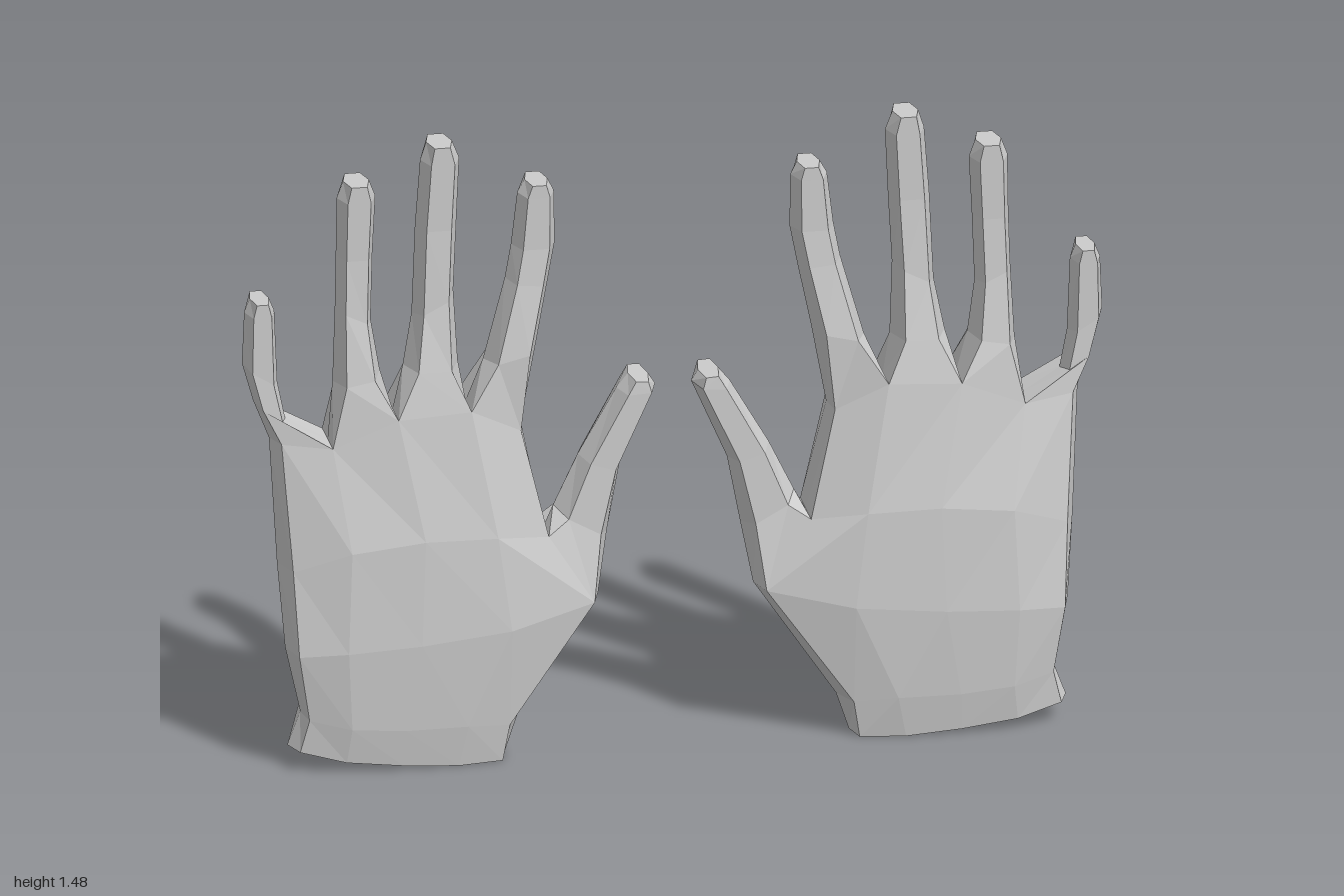
import * as THREE from 'three';

// Palm rows from wrist to knuckles, five columns from thumb side to little finger side:
// x, y, front z, back z, and how far the bevelled edges sit inside the outline
const PALM = [
  { x: [0.40, 0.52, 0.65, 0.78, 0.905], y: [0, 0, 0.01, 0.025, 0.05], f: [0.07, 0.085, 0.088, 0.085, 0.065], b: [-0.045, -0.065, -0.068, -0.065, -0.045], in: [0.015, 0.02] },
  { x: [0.37, 0.50, 0.645, 0.77, 0.875], y: [0.09, 0.1, 0.1, 0.11, 0.13], f: [0.08, 0.1, 0.102, 0.1, 0.075], b: [-0.055, -0.075, -0.078, -0.075, -0.055], in: [0.03, 0.01] },
  { x: [0.18, 0.40, 0.61, 0.78, 0.91], y: [0.37, 0.33, 0.31, 0.3, 0.29], f: [0.065, 0.11, 0.116, 0.112, 0.085], b: [-0.07, -0.092, -0.095, -0.092, -0.07], in: [0.02, 0.02] },
  { x: [0.305, 0.43, 0.60, 0.77, 0.925], y: [0.535, 0.555, 0.56, 0.54, 0.49], f: [0.055, 0.098, 0.106, 0.1, 0.06], b: [-0.085, -0.108, -0.113, -0.108, -0.085], in: [0, 0.025] },
  { x: [0.355, 0.485, 0.655, 0.805, 0.94], y: [0.79, 0.855, 0.845, 0.78, 0.79], f: [0.03, 0.06, 0.06, 0.045, 0.02], b: [-0.09, -0.1, -0.1, -0.095, -0.085], in: [0.01, 0.02] },
];

// Digit sections above the base: left x, left y, right x, right y, front z
const FINGERS = {
  indexFinger: [[0.32, 0.98, 0.443, 0.95, 0.035], [0.29, 1.13, 0.39, 1.14, 0.01], [0.273, 1.22, 0.375, 1.22, 0.002], [0.275, 1.345, 0.36, 1.345, 0], [0.29, 1.375, 0.343, 1.375, 0]],
  middleFinger: [[0.502, 0.95, 0.63, 0.95, 0.04], [0.51, 1.12, 0.607, 1.07, 0.012], [0.502, 1.28, 0.598, 1.28, 0], [0.495, 1.44, 0.586, 1.44, 0], [0.512, 1.483, 0.572, 1.483, 0]],
  ringFinger: [[0.683, 0.94, 0.793, 0.92, 0.035], [0.702, 1.06, 0.785, 1.10, 0.01], [0.697, 1.22, 0.782, 1.22, 0], [0.69, 1.36, 0.78, 1.36, 0], [0.705, 1.4, 0.765, 1.4, 0]],
  littleFinger: [[0.9, 0.83, 0.975, 0.88, 0.005], [0.918, 0.92, 1.0, 0.97, 0], [0.925, 1.095, 0.995, 1.095, 0], [0.938, 1.127, 0.982, 1.127, 0]],
};
const THUMB = [[0.155, 0.51, 0.28, 0.58, 0.035], [0.125, 0.67, 0.222, 0.70, 0.028], [0.042, 0.86, 0.132, 0.855, 0.025], [0.058, 0.885, 0.105, 0.888, 0.022]];

// Skin between closed rings with flat end caps where asked; side -1 mirrors in x
function loft(rings, side, capStart, capEnd) {
  const n = rings[0].length, pos = [], idx = [];
  rings.forEach(r => r.forEach(p => pos.push(p[0] * side, p[1], p[2])));
  const tri = (a, b, c) => (side > 0 ? idx.push(a, b, c) : idx.push(a, c, b));
  for (let r = 0; r < rings.length - 1; r++) {
    for (let i = 0; i < n; i++) {
      const j = (i + 1) % n, a = r * n, b = a + n;
      tri(a + i, a + j, b + j);
      tri(a + i, b + j, b + i);
    }
  }
  const top = (rings.length - 1) * n;
  for (let i = 1; i < n - 1; i++) {
    if (capStart) tri(0, i + 1, i);
    if (capEnd) tri(top, top + i, top + i + 1);
  }
  const g = new THREE.BufferGeometry();
  g.setAttribute('position', new THREE.Float32BufferAttribute(pos, 3));
  g.setIndex(idx);
  g.computeVertexNormals();
  return g;
}

// Front, middle and back point of one palm column
function palmColumn(row, i) {
  const inset = i === 0 ? row.in[0] : i === 4 ? -row.in[1] : 0;
  const x = row.x[i], y = row.y[i], f = row.f[i], b = row.b[i];
  return { front: [x + inset, y, f], mid: [x, y, (f + b) / 2], back: [x + inset, y, b] };
}

function palmRing(row) {
  const c = row.x.map((_, i) => palmColumn(row, i));
  return [...c.map(p => p.front), c[4].mid, ...c.map(p => p.back).reverse(), c[0].mid];
}

// Six-sided section between two palm columns
const baseRing = (l, r) => [l.front, r.front, r.mid, r.back, l.back, l.mid];

// Six-sided digit section, narrower at front and back
function digitRing([xl, yl, xr, yr, f]) {
  const b = -0.095, k = 0.2;
  const at = (t, z) => [xl + (xr - xl) * t, yl + (yr - yl) * t, z];
  const m = (f + b) / 2;
  return [at(k, f), at(1 - k, f), at(1, m), at(1 - k, b), at(k, b), at(0, m)];
}

function makeHand(side, name, material) {
  const hand = new THREE.Group();
  hand.name = name;
  const add = (partName, geometry) => {
    const mesh = new THREE.Mesh(geometry, material);
    mesh.name = partName;
    hand.add(mesh);
  };
  add('palm', loft(PALM.map(palmRing), side, true, false));

  // Fingers grow from neighbouring columns of the knuckle row
  Object.entries(FINGERS).forEach(([partName, sections], i) => {
    const base = baseRing(palmColumn(PALM[4], i), palmColumn(PALM[4], i + 1));
    add(partName, loft([base, ...sections.map(digitRing)], side, false, true));
  });

  // Thumb grows from the palm's inner edge
  const thumbBase = baseRing(palmColumn(PALM[2], 0), palmColumn(PALM[3], 0));
  add('thumb', loft([thumbBase, ...THUMB.map(digitRing)], side, false, true));
  return hand;
}

export function createModel() {
  const material = new THREE.MeshStandardMaterial({ color: 0xcccccc, flatShading: true });
  const model = new THREE.Group();
  model.name = 'pairOfHands';
  model.add(makeHand(1, 'leftHand', material), makeHand(-1, 'rightHand', material));
  return model;
}
